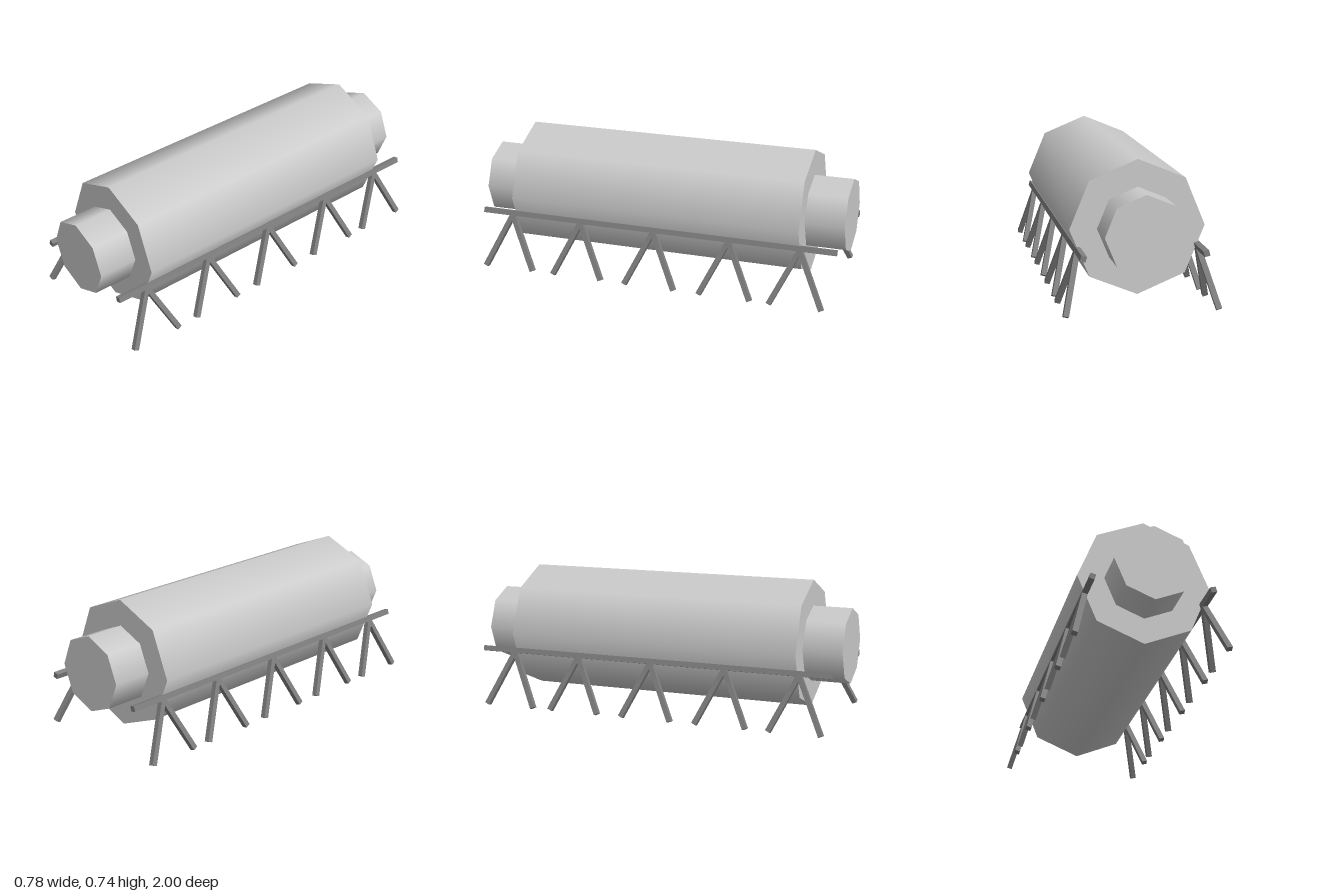
import * as THREE from 'three';

export function createModel() {
  const model = new THREE.Group();
  const shell = new THREE.MeshStandardMaterial({ color: 0xcccccc });
  shell.name = 'lightGrey';
  const metal = new THREE.MeshStandardMaterial({ color: 0x808080 });
  metal.name = 'darkGrey';

  // Eight-sided, smooth-shaded drums lying along z
  function drum(name, radius, length) {
    const geometry = new THREE.CylinderGeometry(radius, radius, length, 8);
    geometry.rotateX(Math.PI / 2);
    const mesh = new THREE.Mesh(geometry, shell);
    mesh.name = name;
    mesh.position.y = 0.402;
    model.add(mesh);
  }
  drum('tank', 0.336, 1.583);
  drum('core', 0.2, 2);

  // Side frames: a rail carrying five splayed pairs of legs, tilted outwards
  const bar = 0.028;
  const top = new THREE.Vector2(0, -0.009);   // (z, y) in the frame's plane
  const foot = new THREE.Vector2(0.138, -0.304);
  const legLength = top.distanceTo(foot);
  const splay = Math.atan2(foot.x - top.x, top.y - foot.y);
  const railGeometry = new THREE.BoxGeometry(bar, bar, 1.96);
  const legGeometry = new THREE.BoxGeometry(bar, legLength, bar * 0.95);

  for (const side of [1, -1]) {
    const frame = new THREE.Group();
    frame.name = side > 0 ? 'leftFrame' : 'rightFrame';
    frame.position.set(side * 0.2985, 0.303, 0);
    frame.rotation.z = side * THREE.MathUtils.degToRad(15);

    const rail = new THREE.Mesh(railGeometry, metal);
    rail.name = 'rail';
    rail.position.z = -0.005;
    frame.add(rail);

    for (const z of [-0.795, -0.417, -0.003, 0.408, 0.805]) {
      for (const dir of [1, -1]) {
        const leg = new THREE.Mesh(legGeometry, metal);
        leg.name = 'leg';
        leg.position.set(0, (top.y + foot.y) / 2, z + dir * (top.x + foot.x) / 2);
        leg.rotation.x = -dir * splay;
        frame.add(leg);
      }
    }
    model.add(frame);
  }
  return model;
}
